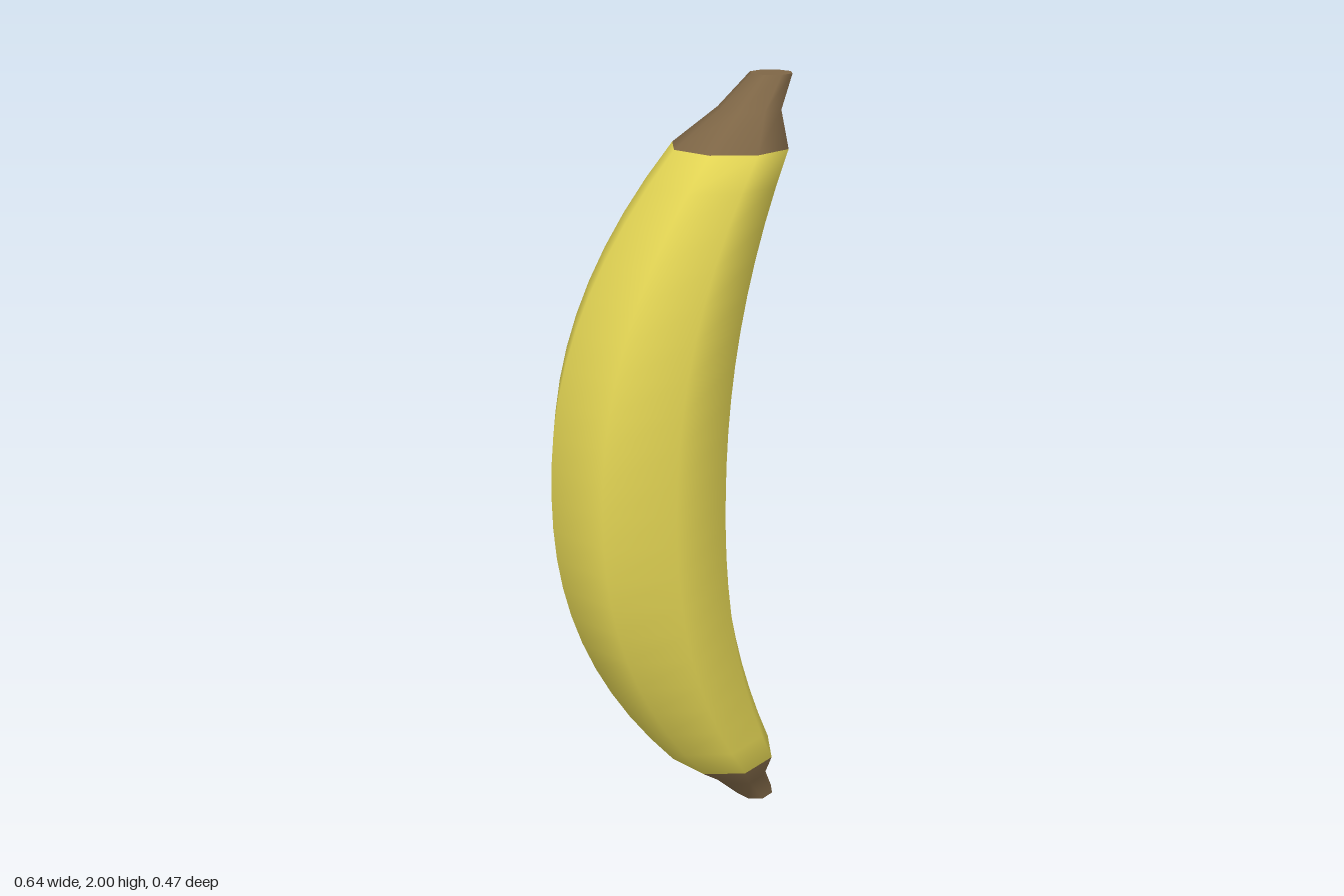
import * as THREE from 'three';

const SIDES = 8;
const BODY_RINGS = 20;

export function createModel() {
  const group = new THREE.Group();
  group.name = 'banana';
  const peelYellow = new THREE.MeshStandardMaterial({ color: 0xe3d554 });
  peelYellow.name = 'peelYellow';
  const stalkBrown = new THREE.MeshStandardMaterial({ color: 0x7e6646 });
  stalkBrown.name = 'stalkBrown';

  // Cross-sections from bottom to top: [height, centre x, radius]
  const tip = [[2, 0.267, 0.053], [1.92, 0.21, 0.08]];
  const rings = tip.map(([y, x, r]) => [2 - y, x, r]);
  for (let i = 0; i <= BODY_RINGS; i++) {
    const t = (i / BODY_RINGS) * 2 - 1;
    const bend = Math.abs(t) ** 2.2;
    rings.push([1 + t * 0.835, -0.087 + 0.246 * bend, 0.234 - 0.087 * bend]);
  }
  rings.push(tip[1], tip[0]);

  const positions = [];
  for (const [y, x, r] of rings) {
    for (let i = 0; i < SIDES; i++) {
      const a = (i / SIDES) * Math.PI * 2;
      positions.push(x + r * Math.cos(a), y, r * Math.sin(a));
    }
  }

  // Faces joining consecutive rings
  const strip = (from, to) => {
    const index = [];
    for (let j = from; j < to; j++) {
      for (let i = 0; i < SIDES; i++) {
        const k = (i + 1) % SIDES;
        const a = j * SIDES + i, b = j * SIDES + k;
        index.push(a, a + SIDES, b, b, a + SIDES, b + SIDES);
      }
    }
    return index;
  };

  // Normals are computed over the whole skin so shading runs smoothly between parts
  const skin = new THREE.BufferGeometry();
  skin.setAttribute('position', new THREE.Float32BufferAttribute(positions, 3));
  skin.setIndex(strip(0, rings.length - 1));
  skin.computeVertexNormals();

  const addPart = (name, from, to, material) => {
    const geometry = skin.clone();
    geometry.setIndex(strip(from, to));
    const mesh = new THREE.Mesh(geometry, material);
    mesh.name = name;
    group.add(mesh);
  };
  const last = rings.length - 1;
  addPart('bottomTip', 0, 2, stalkBrown);
  addPart('peel', 2, last - 2, peelYellow);
  addPart('stalk', last - 2, last, stalkBrown);

  // Flat end caps
  for (const [name, y, turn] of [['stalkEnd', 2, -1], ['bottomEnd', 0, 1]]) {
    const cap = new THREE.Mesh(new THREE.CircleGeometry(tip[0][2], SIDES), stalkBrown);
    cap.rotation.x = (turn * Math.PI) / 2;
    cap.position.set(tip[0][1], y, 0);
    cap.name = name;
    group.add(cap);
  }
  return group;
}
